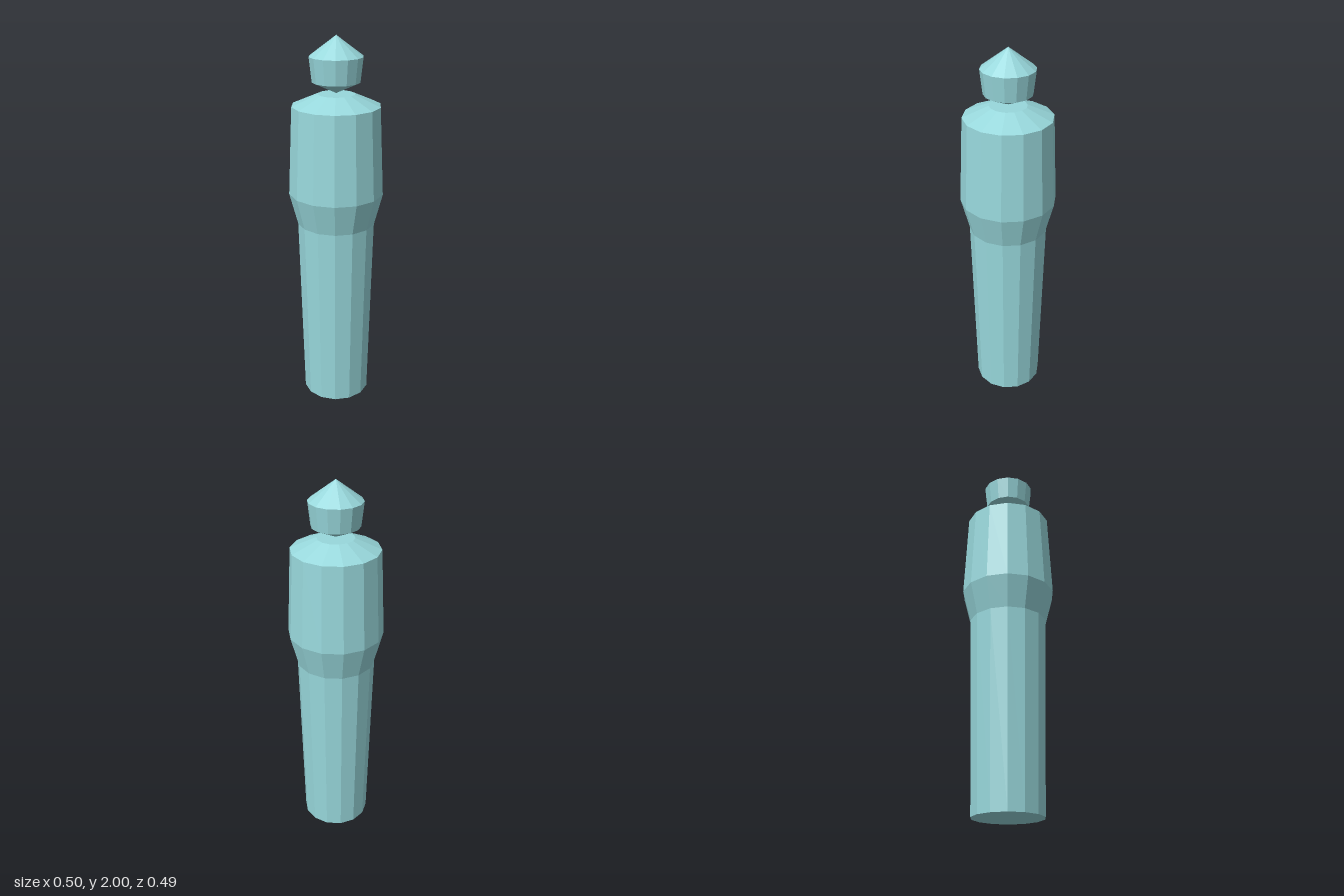
import * as THREE from 'three';

const SIDES = 14;

// Faceted solid of revolution from [radius, height] pairs, bottom to top,
// with a corner on the x axis
function turned(name, profile, material) {
  const points = profile.map(([r, y]) => new THREE.Vector2(r, y));
  const geometry = new THREE.LatheGeometry(points, SIDES, Math.PI / 2);
  const mesh = new THREE.Mesh(geometry, material);
  mesh.name = name;
  return mesh;
}

export function createModel() {
  const group = new THREE.Group();
  group.name = 'figure';

  const paleTeal = new THREE.MeshStandardMaterial({ color: 0x98d8dc });
  paleTeal.name = 'paleTeal';
  paleTeal.flatShading = true;

  // Tapered legs, flared chest and sloping shoulders, closed at both ends
  group.add(turned('body', [
    [0, 0], [0.183, 0], [0.206, 1.03], [0.25, 1.2],
    [0.228, 1.657], [0.095, 1.714], [0, 1.714],
  ], paleTeal));

  // Head balanced on a point, with a pointed crown
  group.add(turned('head', [
    [0, 1.718], [0.123, 1.774], [0.137, 1.898], [0, 2],
  ], paleTeal));

  return group;
}
